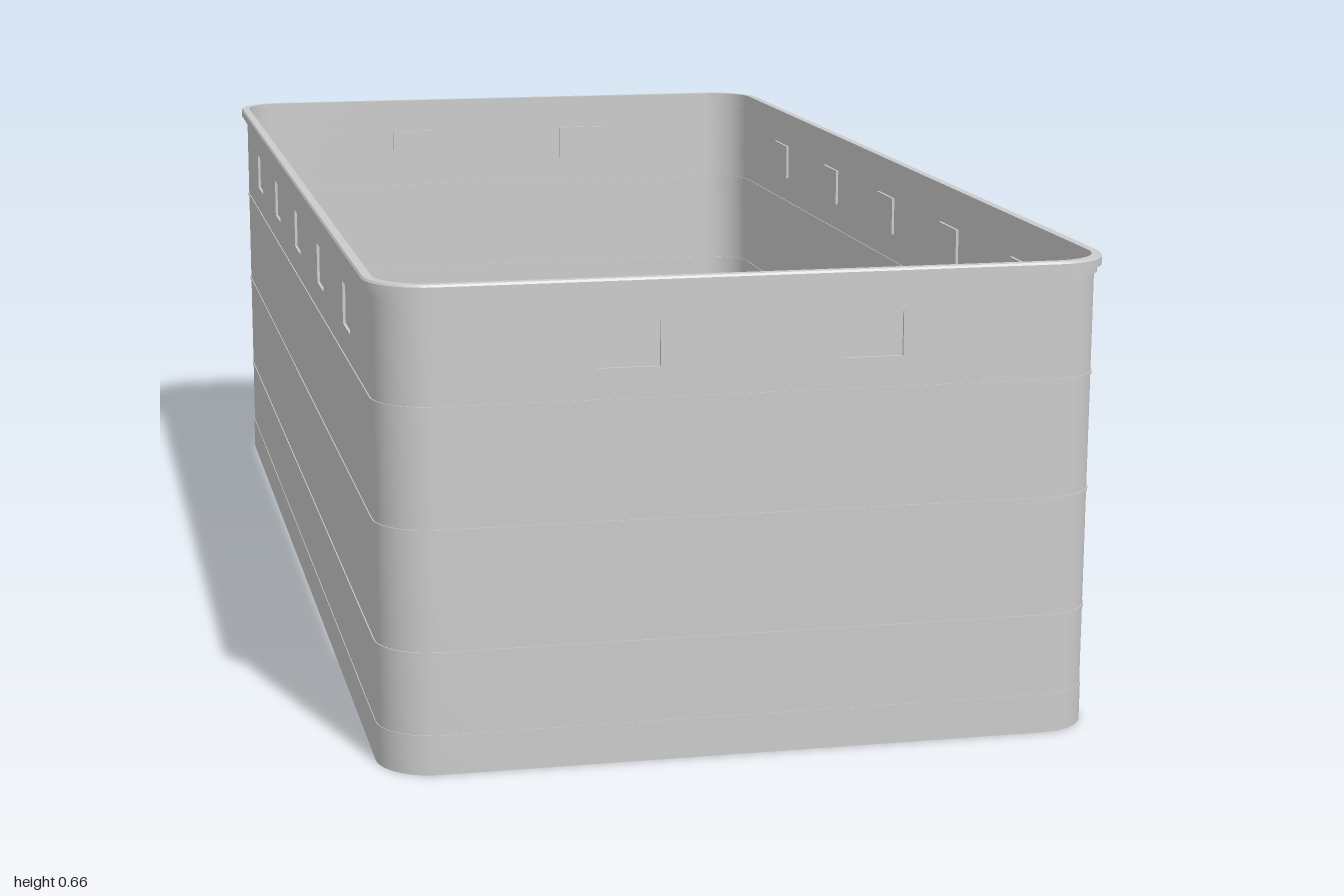
import * as THREE from 'three';
import { toCreasedNormals } from 'three/addons/utils/BufferGeometryUtils.js';

const HALF_X = 0.505, HALF_Z = 1.0, RADIUS = 0.085;
const WALL = 0.495 - HALF_X;      // wall outer face, relative to the rim's edge
const THICK = 0.004, POCKET = 0.004, WINDOW_W = 0.084;

// Rounded-rectangle plan: columns { c: centre, n: outward normal, win: inside a window }
function planColumns() {
  const columns = [];
  const windows = { x: [-0.66, -0.33, 0, 0.33, 0.66], z: [-0.165, 0.165] };
  const signs = [[1, 1], [-1, 1], [-1, -1], [1, -1]];
  const steps = 10;
  signs.forEach(([sx, sz], k) => {
    // corner arc
    const corner = new THREE.Vector2(sx * (HALF_X - RADIUS), sz * (HALF_Z - RADIUS));
    for (let i = 0; i <= steps; i++) {
      const a = (k + i / steps) * Math.PI / 2;
      columns.push({ c: corner, n: new THREE.Vector2(Math.cos(a), Math.sin(a)), win: false });
    }
    // straight side following the corner, with doubled columns at window edges
    const a = (k + 1) * Math.PI / 2;
    const n = new THREE.Vector2(Math.round(Math.cos(a)), Math.round(Math.sin(a)));
    const t = new THREE.Vector2(-n.y, n.x);
    const half = n.x ? HALF_X : HALF_Z;
    for (const s of windows[n.x ? 'x' : 'z']) {
      for (const [e, win] of [[-1, false], [-1, true], [1, true], [1, false]]) {
        const c = n.clone().multiplyScalar(half - RADIUS).addScaledVector(t, s + e * WINDOW_W / 2);
        columns.push({ c, n, win });
      }
    }
  });
  return columns;
}

// Sweep a closed profile of [offset, y, pocketRow] around the plan
function sweep(profile) {
  const columns = planColumns();
  const point = (col, [offset, y, row]) => {
    const r = RADIUS + offset - (col.win && row ? POCKET : 0);
    // enlarged so that creasing resolves the fine steps, scaled back below
    return new THREE.Vector3(col.c.x + col.n.x * r, y, col.c.y + col.n.y * r).multiplyScalar(100);
  };
  const positions = [];
  const tri = new THREE.Triangle();
  const addTriangle = (...p) => {
    if (tri.set(...p).getArea() > 1e-6) p.forEach(v => positions.push(v.x, v.y, v.z));
  };
  columns.forEach((col, i) => {
    const next = columns[(i + 1) % columns.length];
    profile.forEach((row, j) => {
      const up = profile[(j + 1) % profile.length];
      const a = point(col, row), b = point(col, up), c = point(next, up), d = point(next, row);
      addTriangle(a, b, c);
      addTriangle(a, c, d);
    });
  });
  const geometry = new THREE.BufferGeometry();
  geometry.setAttribute('position', new THREE.Float32BufferAttribute(positions, 3));
  return toCreasedNormals(geometry, 0.5).scale(0.01, 0.01, 0.01);
}

// Wall outline going up: base skirt, raised seams, window rows
function wallRows() {
  const rows = [[0.001, 0], [0.001, 0.055], [0, 0.055]];
  for (const y of [0.167, 0.333, 0.497]) {
    rows.push([0, y - 0.002], [0.0015, y - 0.002], [0.0015, y + 0.002], [0, y + 0.002]);
  }
  rows.push([0, 0.54, false], [0, 0.54, true], [0, 0.6, true], [0, 0.6, false], [0, 0.64]);
  return rows.map(([o, y, w]) => [o + WALL, y, w]);
}

export function createModel() {
  const group = new THREE.Group();
  const material = new THREE.MeshStandardMaterial({ color: 0xcccccc, side: THREE.DoubleSide });
  const add = (name, profile) => {
    const mesh = new THREE.Mesh(sweep(profile), material);
    mesh.name = name;
    group.add(mesh);
  };

  // Thin wall: outer face up, inner face back down
  const outer = wallRows();
  const inner = outer.map(([o, y, w]) => [o - THICK, y, w]).reverse();
  add('wall', [...outer, ...inner]);

  // Stepped lip around the top edge
  add('rim', [
    [WALL - THICK, 0.636], [WALL + 0.004, 0.636], [WALL + 0.004, 0.646],
    [0, 0.646], [0, 0.657], [-0.002, 0.66], [WALL - THICK, 0.66],
  ]);
  return group;
}
